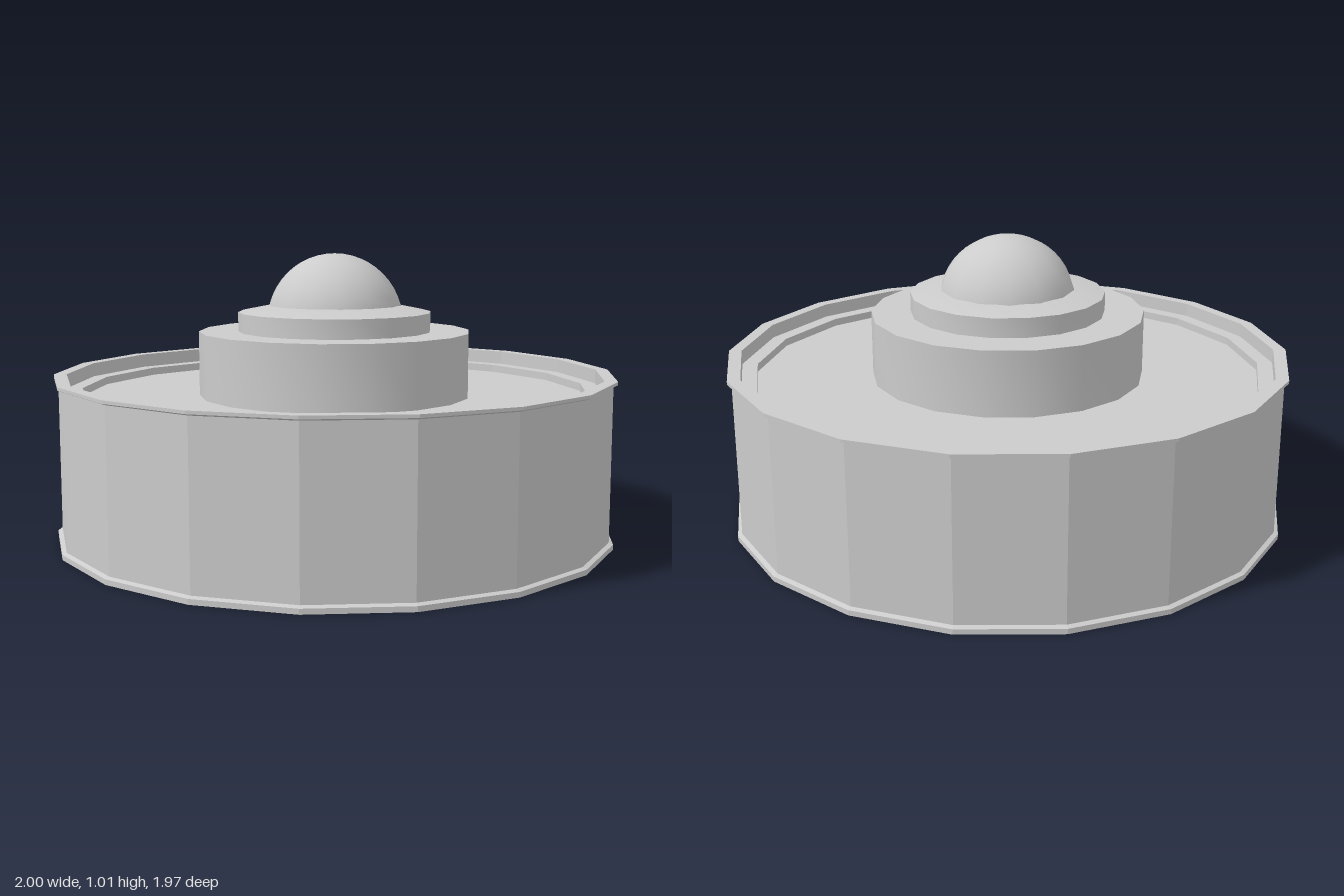
import * as THREE from 'three';
import { toCreasedNormals } from 'three/addons/utils/BufferGeometryUtils.js';

const SIDES = 18;

// Turn a profile of [radius, height] pairs, bottom to top, with a corner on the x axis
function turned(name, profile, crease, sides = SIDES) {
  const points = profile.map(([r, y]) => new THREE.Vector2(r, y));
  const lathe = new THREE.LatheGeometry(points, sides, Math.PI / 2);
  const material = new THREE.MeshStandardMaterial({ color: 0xcccccc });
  const mesh = new THREE.Mesh(toCreasedNormals(lathe, crease), material);
  mesh.name = name;
  return mesh;
}

export function createModel() {
  const model = new THREE.Group();
  model.name = 'drumWithDome';
  const faceted = 0.1, smooth = 0.6;

  // Drum: recessed underside, thin flanges, stepped recess on top
  model.add(turned('drum', [
    [0, 0.015], [0.965, 0.015], [0.965, 0], [1, 0],
    [1, 0.018], [0.985, 0.024], [0.985, 0.568], [1, 0.574],
    [1, 0.585], [0.955, 0.585], [0.955, 0.535],
    [0.9, 0.535], [0.9, 0.507], [0, 0.507],
  ], faceted));

  // Wide round pedestal on the recessed floor
  model.add(turned('pedestal', [
    [0.485, 0.507], [0.485, 0.735], [0, 0.735],
  ], smooth));

  // Smaller collar with a gently sloping top
  model.add(turned('collar', [
    [0.345, 0.735], [0.345, 0.803], [0.23, 0.826], [0, 0.826],
  ], smooth));

  // Smooth dome, slightly off centre
  const arc = [];
  const rings = 12;
  for (let i = 0; i <= rings; i++) {
    const a = (i / rings) * Math.PI / 2;
    arc.push([i === rings ? 0 : 0.245 * Math.cos(a), 0.765 + 0.245 * Math.sin(a)]);
  }
  const dome = turned('dome', arc, smooth, 14);
  dome.position.set(0.01, 0, -0.01);
  model.add(dome);

  return model;
}
